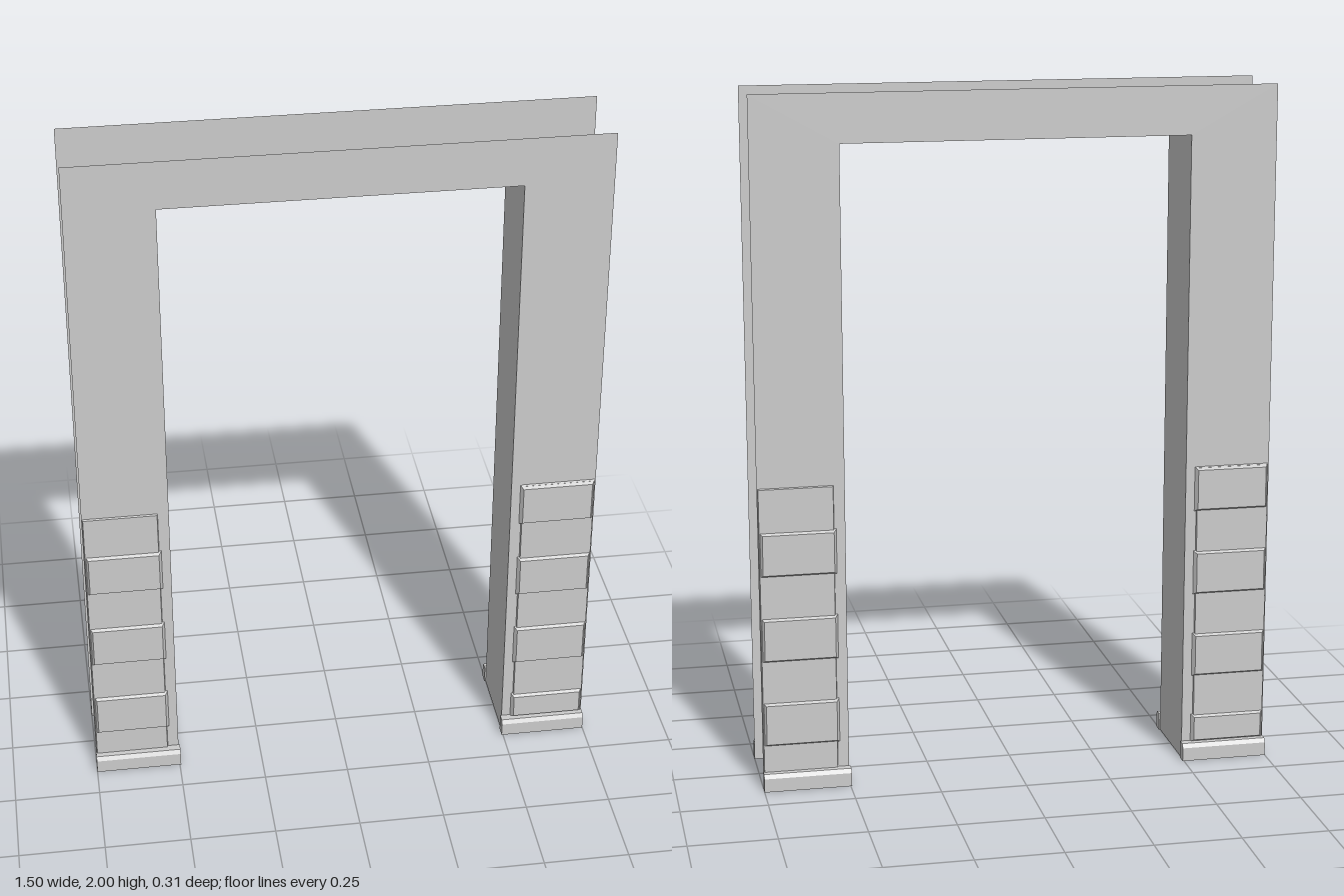
import * as THREE from 'three';

const W = 0.75, H = 2, OPEN_X = 0.5, OPEN_Y = 1.86, Z = 0.122;
const mat = new THREE.MeshStandardMaterial({ color: 0xcccccc, flatShading: true, side: THREE.DoubleSide });

function part(name, geometry, parent) {
  const mesh = new THREE.Mesh(geometry, mat);
  mesh.name = name;
  parent.add(mesh);
  return mesh;
}

// Box between two corners whose front edges are chamfered inward
function chamferedBlock(x0, x1, y0, y1, z0, z1, inset) {
  const w = x1 - x0, h = y1 - y0, d = z1 - z0;
  const geo = new THREE.BoxGeometry(w, h, d);
  const p = geo.attributes.position;
  for (let i = 0; i < p.count; i++) {
    if (p.getZ(i) < 0) continue;
    p.setX(i, p.getX(i) - Math.sign(p.getX(i)) * inset);
    p.setY(i, p.getY(i) - Math.sign(p.getY(i)) * inset);
  }
  geo.translate((x0 + x1) / 2, (y0 + y1) / 2, (z0 + z1) / 2);
  geo.computeVertexNormals();
  return geo;
}

// Skirting block with a sloped top edge, extruded across the leg
function plinth(x0, x1) {
  const s = new THREE.Shape();
  [[Z, 0], [0.153, 0], [0.153, 0.04], [0.145, 0.052], [Z, 0.052]]
    .forEach(([z, y], i) => (i ? s.lineTo(-z, y) : s.moveTo(-z, y)));
  const geo = new THREE.ExtrudeGeometry(s, { depth: x1 - x0, bevelEnabled: false });
  return geo.rotateY(Math.PI / 2).translate(x0, 0, 0);
}

function makeFace(name) {
  const face = new THREE.Group();
  face.name = name;

  // Flat surround with the doorway cut out
  const s = new THREE.Shape();
  [[-W, 0], [-OPEN_X, 0], [-OPEN_X, OPEN_Y], [OPEN_X, OPEN_Y], [OPEN_X, 0], [W, 0], [W, H], [-W, H]]
    .forEach(([x, y], i) => (i ? s.lineTo(x, y) : s.moveTo(x, y)));
  part('surround', new THREE.ShapeGeometry(s), face).position.z = Z;

  for (const side of [-1, 1]) {
    const span = (a, b) => (side > 0 ? [a, b] : [-b, -a]);
    part('plinth', plinth(...span(0.496, W)), face);
    // Thin backing panel behind the raised blocks
    part('blockBacking', chamferedBlock(...span(0.532, 0.748), 0.05, 0.895, Z, 0.128, 0.002), face);
    // Raised blocks sit in alternate rows on the two legs
    for (let row = side > 0 ? 0 : 1; row < 7; row += 2) {
      const top = 0.895 - row * 0.1265;
      const bottom = Math.max(top - 0.133, 0.05);
      part('raisedBlock', chamferedBlock(...span(0.526, 0.746), bottom, top, 0.124, 0.137, 0.008), face);
    }
  }
  return face;
}

export function createModel() {
  const model = new THREE.Group();
  model.name = 'doorSurround';

  // Front and back are the same face turned half round
  model.add(makeFace('frontFace'));
  const back = makeFace('backFace');
  back.rotation.y = Math.PI;
  model.add(back);

  // Inner lining of the doorway
  for (const side of [-1, 1]) {
    const jamb = part('jamb', new THREE.PlaneGeometry(2 * Z, OPEN_Y), model);
    jamb.rotation.y = -side * Math.PI / 2;
    jamb.position.set(side * OPEN_X, OPEN_Y / 2, 0);
  }
  const soffit = part('soffit', new THREE.PlaneGeometry(2 * OPEN_X, 2 * Z), model);
  soffit.rotation.x = Math.PI / 2;
  soffit.position.y = OPEN_Y;

  return model;
}
